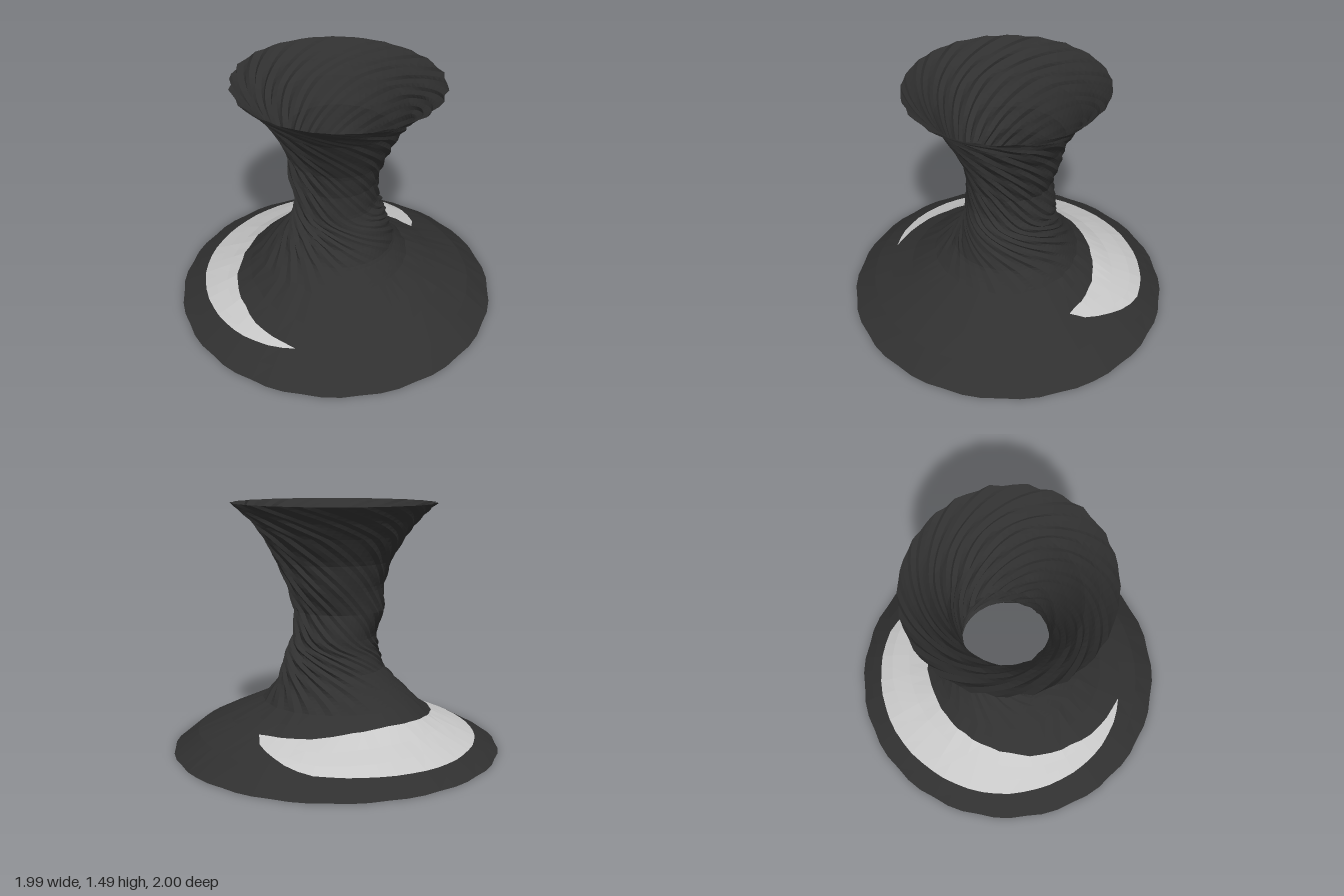
import * as THREE from 'three';

// Rings from the ground up: height, then radius towards +x, -x, +z, -z
const RINGS = [
  [0, 1, 1, 1, 1], [0.09, 0.89, 0.82, 0.86, 0.87], [0.14, 0.82, 0.7, 0.73, 0.77],
  [0.2, 0.68, 0.58, 0.6, 0.57], [0.3, 0.45, 0.48, 0.47, 0.44], [0.4, 0.36, 0.38, 0.35, 0.38],
  [0.5, 0.33, 0.29, 0.28, 0.33], [0.6, 0.3, 0.26, 0.26, 0.3], [0.7, 0.25, 0.24, 0.26, 0.3],
  [0.85, 0.25, 0.29, 0.25, 0.27], [1, 0.29, 0.285, 0.27, 0.32], [1.15, 0.36, 0.33, 0.34, 0.35],
  [1.3, 0.44, 0.42, 0.42, 0.43], [1.4, 0.52, 0.5, 0.5, 0.5], [1.49, 0.63, 0.6, 0.59, 0.585],
];
const TOP = RINGS.length - 1;
const RAD = Math.PI / 180;

// Crescent edges: angle in degrees (from +x towards -z), radius
const TIP_A = 58, TIP_B = 276;
const OUTER = [[58, 0.625], [63, 0.69], [75, 0.765], [83, 0.815], [93, 0.86], [107, 0.868], [126, 0.87],
  [145, 0.87], [166, 0.86], [180, 0.86], [197, 0.857], [216, 0.845], [233, 0.836], [249, 0.826],
  [266, 0.8], [276, 0.774], [418, 0.625]];
const INNER = [[58, 0.625], [71, 0.6], [90, 0.57], [110, 0.54], [135, 0.53], [160, 0.55], [180, 0.57],
  [200, 0.6], [222, 0.655], [239, 0.685], [254, 0.73], [270, 0.758], [276, 0.774], [418, 0.625]];

function lookup(table, a) {
  let i = 0;
  while (i < table.length - 2 && a > table[i + 1][0]) i++;
  const [a0, r0] = table[i], [a1, r1] = table[i + 1];
  return r0 + (r1 - r0) * (a - a0) / (a1 - a0);
}

// Radius and height at an angle (degrees) and a fractional ring index
function profile(deg, s) {
  const c = Math.cos(deg * RAD), n = -Math.sin(deg * RAD);
  const i = Math.min(Math.floor(s), TOP - 1), f = s - i;
  const mix = (k) => RINGS[i][k] + (RINGS[i + 1][k] - RINGS[i][k]) * f;
  return [c * c * mix(c > 0 ? 1 : 2) + n * n * mix(n > 0 ? 3 : 4), mix(0)];
}

// Ring index where the skirt has a given radius
function ringAt(deg, r) {
  let lo = 0, hi = 5;
  for (let i = 0; i < 24; i++) {
    const m = (lo + hi) / 2;
    if (profile(deg, m)[0] > r) lo = m; else hi = m;
  }
  return lo;
}

export function createModel() {
  const group = new THREE.Group();
  const darkGrey = new THREE.MeshStandardMaterial({ color: 0x303030, side: THREE.DoubleSide });
  const paleGrey = new THREE.MeshStandardMaterial({ color: 0xc8c8c8, side: THREE.DoubleSide });

  // Columns run around the funnel and land exactly on the crescent tips
  const angles = [];
  for (let i = 0; i < 36; i++) angles.push(TIP_A + (TIP_B - TIP_A) * i / 36);
  for (let i = 0; i < 22; i++) angles.push(TIP_B + (418 - TIP_B) * i / 22);
  const N = angles.length;

  // Spiral creases follow the twisted columns
  function point(col, s, twist) {
    const deg = angles[col] - twist;
    const [r, y] = profile(deg, s);
    const crease = Math.sin(col * 2.4 + s * 0.9) + 0.6 * Math.sin(col * 4.1 - s * 1.7);
    const rr = r + Math.min(1, s / 6) * 0.007 * crease - (s === 0 ? 0.008 * (col % 3 === 1) : 0);
    return new THREE.Vector3(rr * Math.cos(deg * RAD), y, -rr * Math.sin(deg * RAD));
  }

  // Each column is a list of points: five skirt rows around the crescent, then the twisted neck
  const CRESCENT_ROW = 2, CRESCENT_ROWS = 3, NECK_ROWS = 56;
  const columns = angles.map((a, col) => {
    const so = ringAt(a, lookup(OUTER, a)), si = ringAt(a, lookup(INNER, a));
    const rows = [0, so / 2];
    for (let k = 0; k <= CRESCENT_ROWS; k++) rows.push(so + (si - so) * k / CRESCENT_ROWS);
    rows.push((si + 4) / 2);
    const pts = rows.map((s) => point(col, s, 0));
    for (let k = 0; k <= NECK_ROWS; k++) {
      const t = k / NECK_ROWS;
      pts.push(point(col, 4 + (TOP - 4) * t, 270 * t * Math.min(1, 0.3 + t * 2)));
    }
    return pts;
  });

  const dark = [], pale = [];
  const triangle = (out, a, b, c) => {
    const area = b.clone().sub(a).cross(c.clone().sub(a)).length();
    if (area > 1e-7) for (const p of [a, b, c]) out.push(p.x, p.y, p.z);
  };
  for (let i = 0; i < N; i++) {
    const a = columns[i], b = columns[(i + 1) % N];
    for (let j = 0; j < a.length - 1; j++) {
      const inCrescent = i < 36 && j >= CRESCENT_ROW && j < CRESCENT_ROW + CRESCENT_ROWS;
      const out = inCrescent ? pale : dark;
      triangle(out, a[j], b[j], b[j + 1]);
      triangle(out, a[j], b[j + 1], a[j + 1]);
    }
  }

  const addMesh = (name, positions, material) => {
    const geometry = new THREE.BufferGeometry();
    geometry.setAttribute('position', new THREE.Float32BufferAttribute(positions, 3));
    geometry.computeVertexNormals(); // unshared corners give faceted normals
    const mesh = new THREE.Mesh(geometry, material);
    mesh.name = name;
    group.add(mesh);
  };
  addMesh('twistedFunnel', dark, darkGrey);
  addMesh('crescentBand', pale, paleGrey);
  return group;
}
